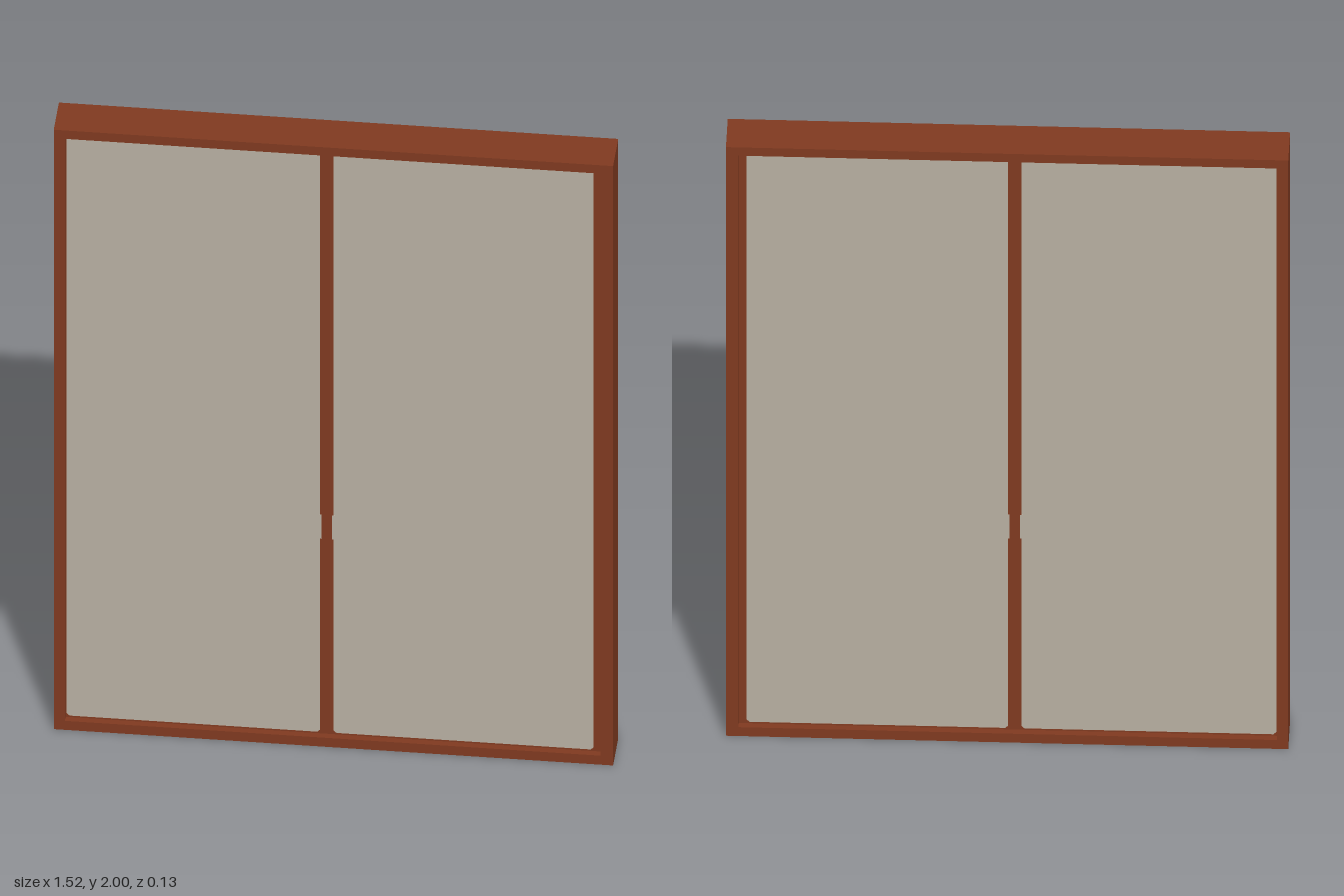
import * as THREE from 'three';

const wood = new THREE.MeshStandardMaterial({ color: 0x803a20 });
wood.name = 'redBrownWood';
const glass = new THREE.MeshStandardMaterial({ color: 0xb8b0a2 });
glass.name = 'frostedGlass';

// Closed outline of a rectangle, with optional cut corners
function outline(Type, x0, x1, y0, y1, cut = 0) {
  const pts = cut
    ? [[x0 + cut, y0], [x1 - cut, y0], [x1, y0 + cut], [x1, y1 - cut],
       [x1 - cut, y1], [x0 + cut, y1], [x0, y1 - cut], [x0, y0 + cut]]
    : [[x0, y0], [x1, y0], [x1, y1], [x0, y1]];
  return new Type(pts.map(([x, y]) => new THREE.Vector2(x, y)));
}

// Plate centred on z = 0
function plate(name, shape, depth, material) {
  const geometry = new THREE.ExtrudeGeometry(shape, { depth, bevelEnabled: false });
  geometry.translate(0, 0, -depth / 2);
  const mesh = new THREE.Mesh(geometry, material);
  mesh.name = name;
  return mesh;
}

// Rectangular surround: outer and inner are [x0, x1, y0, y1]
function surround(name, outer, inner, depth, cut = 0) {
  const shape = outline(THREE.Shape, ...outer);
  shape.holes.push(outline(THREE.Path, ...inner, cut));
  return plate(name, shape, depth, wood);
}

// Sliding sash: wooden surround, pane and a small recessed pull
function sash(name, outer, pane, pullX) {
  const group = new THREE.Group();
  group.name = name;
  group.add(surround(name + 'Surround', outer, pane, 0.088, 0.008));
  group.add(plate(name + 'Pane', outline(THREE.Shape, ...pane, 0.008), 0.086, glass));
  const pull = new THREE.Mesh(new THREE.BoxGeometry(0.008, 0.08, 0.09), glass);
  pull.name = name + 'Pull';
  pull.position.set(pullX, 0.72, 0);
  group.add(pull);
  return group;
}

export function createModel() {
  const model = new THREE.Group();
  model.name = 'slidingWindow';

  // Fixed outer frame
  model.add(surround('outerFrame', [-0.76, 0.76, 0, 2], [-0.73, 0.726, 0.03, 1.972], 0.126));

  // Two sashes meeting at the middle stile
  model.add(sash('rightSash', [-0.73, -0.02, 0.03, 1.972], [-0.727, -0.038, 0.034, 1.969], -0.038));
  model.add(sash('leftSash', [-0.02, 0.726, 0.03, 1.972], [-0.002, 0.705, 0.034, 1.969], -0.002));
  return model;
}
